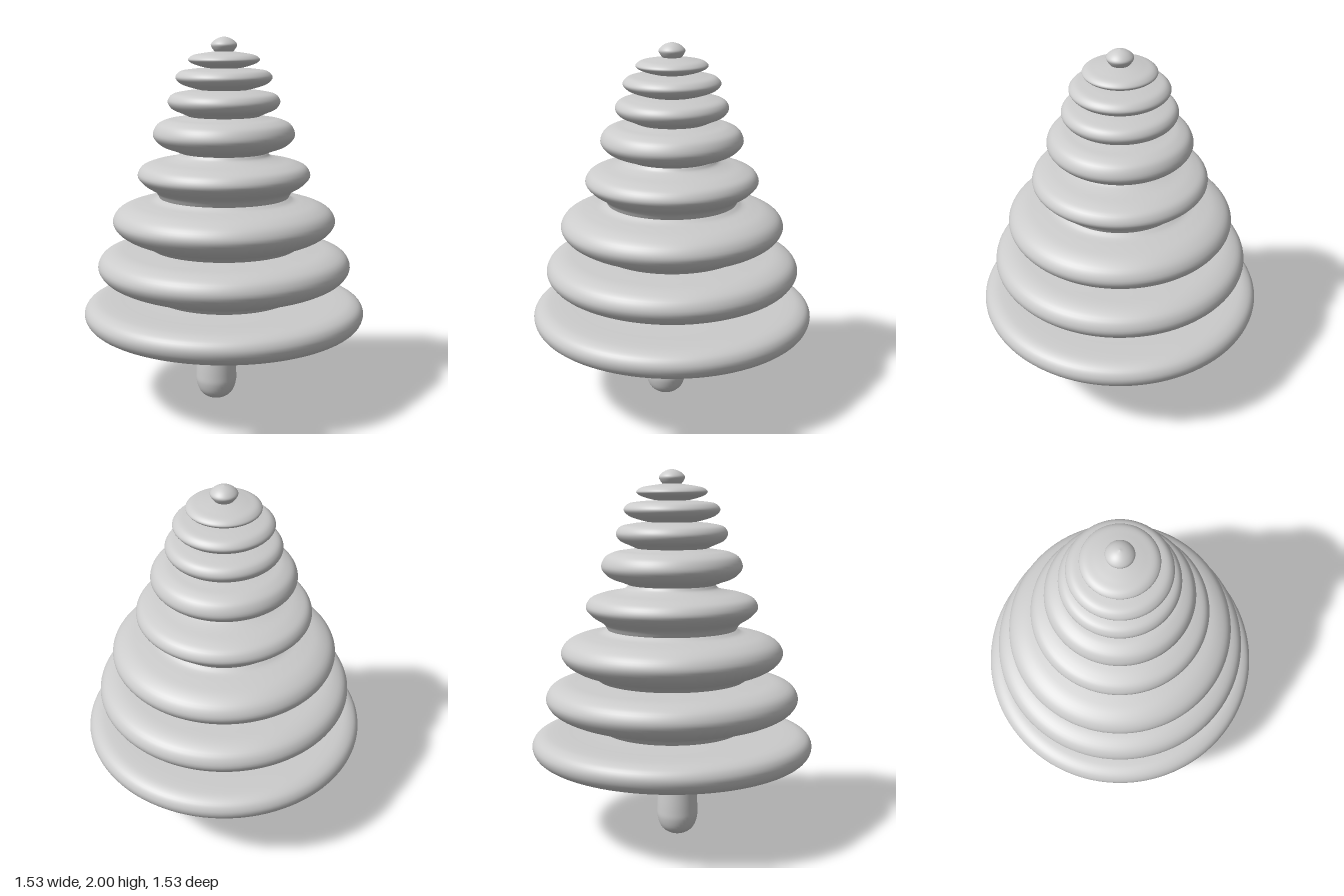
import * as THREE from 'three';

const material = new THREE.MeshStandardMaterial({ color: 0xcccccc, side: THREE.DoubleSide });

// Smooth surface of revolution through a few [radius, height] points, bottom to top
function turned(name, profile, steps, segments) {
  const curve = new THREE.CatmullRomCurve3(
    profile.map(([r, y]) => new THREE.Vector3(r, y, 0)), false, 'centripetal');
  const points = curve.getPoints(steps).map((p) => new THREE.Vector2(Math.max(p.x, 0), p.y));
  const mesh = new THREE.Mesh(new THREE.LatheGeometry(points, segments), material);
  mesh.name = name;
  return mesh;
}

// Each tier starts on the neck ring where the one below ends
const tiers = [
  [[0, 0.415], [0.3, 0.415], [0.6, 0.418], [0.69, 0.43], [0.75, 0.468], [0.767, 0.515],
    [0.75, 0.555], [0.71, 0.578], [0.65, 0.586], [0.5, 0.588], [0.38, 0.592]],
  [[0.38, 0.592], [0.41, 0.623], [0.5, 0.648], [0.59, 0.675], [0.66, 0.717], [0.688, 0.77],
    [0.665, 0.825], [0.6, 0.857], [0.5, 0.867], [0.4, 0.873]],
  [[0.4, 0.873], [0.44, 0.9], [0.52, 0.93], [0.58, 0.972], [0.603, 1.02], [0.58, 1.07],
    [0.52, 1.105], [0.44, 1.122], [0.38, 1.132], [0.35, 1.148]],
  [[0.35, 1.148], [0.37, 1.18], [0.43, 1.22], [0.465, 1.265], [0.445, 1.31], [0.39, 1.335],
    [0.3, 1.353], [0.25, 1.37], [0.235, 1.388]],
  [[0.235, 1.388], [0.27, 1.402], [0.34, 1.43], [0.38, 1.48], [0.36, 1.535], [0.31, 1.562],
    [0.25, 1.572], [0.19, 1.582]],
  [[0.19, 1.582], [0.23, 1.6], [0.28, 1.624], [0.3, 1.66], [0.28, 1.695], [0.22, 1.712],
    [0.13, 1.722]],
  [[0.13, 1.722], [0.18, 1.735], [0.235, 1.757], [0.258, 1.787], [0.235, 1.817], [0.18, 1.829],
    [0.09, 1.836]],
  [[0.09, 1.836], [0.14, 1.849], [0.18, 1.866], [0.19, 1.88], [0.17, 1.9], [0.12, 1.912],
    [0.05, 1.922]],
];

export function createModel() {
  const tree = new THREE.Group();
  tree.name = 'tieredTree';

  // Foliage discs
  tiers.forEach((profile, i) => tree.add(turned(`foliageTier${i + 1}`, profile, 36, 96)));

  // Small bud on top
  tree.add(turned('treeTip',
    [[0.05, 1.922], [0.062, 1.938], [0.07, 1.957], [0.055, 1.977], [0.03, 1.992], [0, 2]], 20, 48));

  // Round-ended trunk, set slightly off the axis
  const trunk = turned('trunk',
    [[0, 0], [0.05, 0.01], [0.09, 0.042], [0.111, 0.1], [0.112, 0.15], [0.106, 0.26],
      [0.099, 0.36], [0.095, 0.45]], 30, 40);
  trunk.position.set(-0.043, 0, -0.01);
  tree.add(trunk);

  return tree;
}
